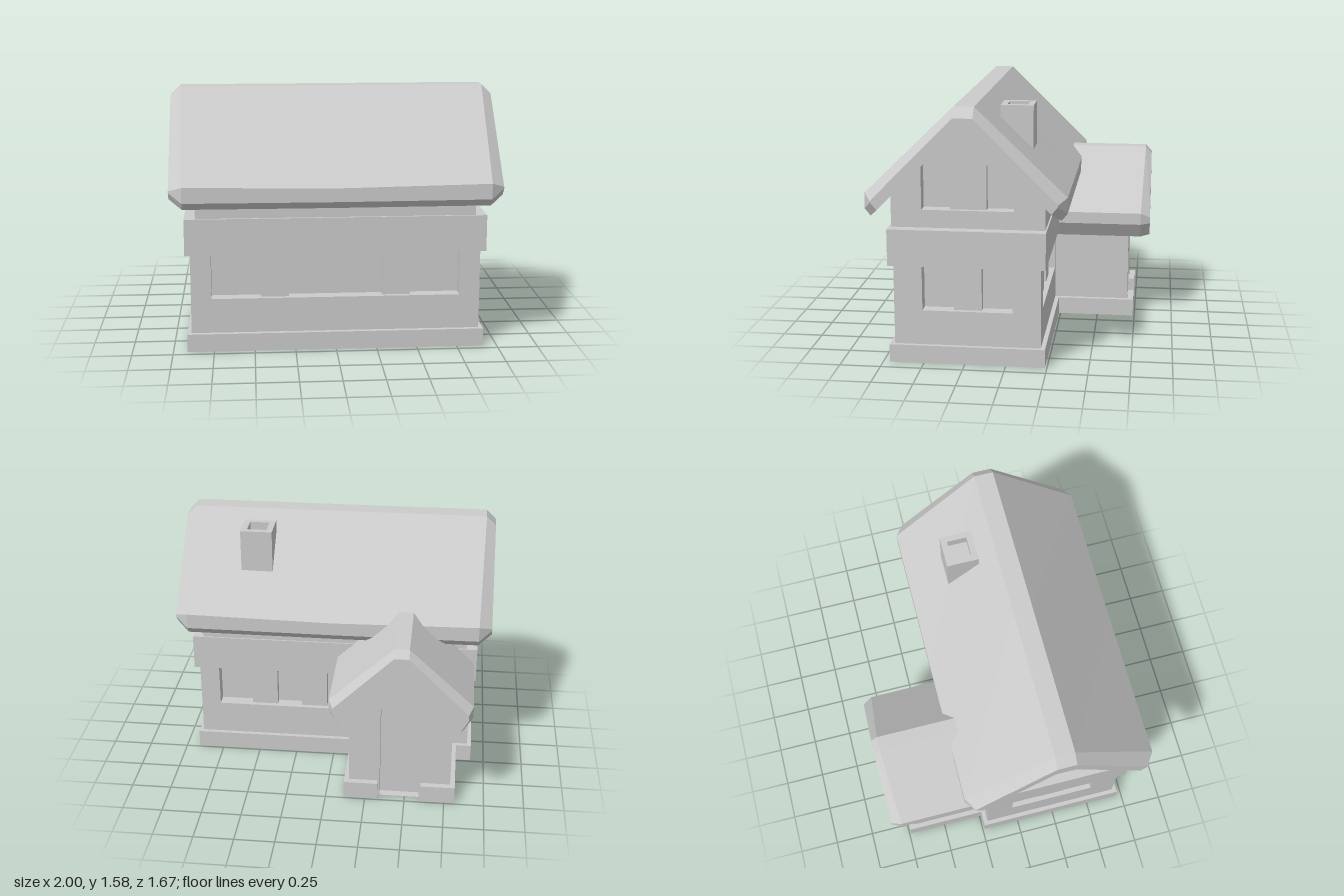
import * as THREE from 'three';

const mat = new THREE.MeshStandardMaterial({ color: 0xcccccc, flatShading: true, side: THREE.DoubleSide });

function add(parent, name, geometry, x = 0, y = 0, z = 0) {
  const m = new THREE.Mesh(geometry, mat);
  m.name = name;
  m.position.set(x, y, z);
  parent.add(m);
  return m;
}

const outline = (pts) => new THREE.Shape(pts.map(([x, y]) => new THREE.Vector2(x, y)));
const rect = (x0, x1, y0, y1) => [[x0, y0], [x1, y0], [x1, y1], [x0, y1]];
const extrude = (shape, depth) => new THREE.ExtrudeGeometry(shape, { depth, bevelEnabled: false });

// Horizontal rectangular frame, given half width, z range and the inset of its hole
function frame(parent, name, [hx, z0, z1], [ix, iz], y, height) {
  const shape = outline(rect(-hx, hx, -z1, -z0));
  shape.holes.push(outline(rect(-hx + ix, hx - ix, -z1 + iz, -z0 - iz)));
  add(parent, name, extrude(shape, height), 0, y, 0).rotation.x = -Math.PI / 2;
}

// Recess behind an opening: upright strips [x0, x1, depth] with sills, heads and jambs
function recess(parent, part, strips, y0, y1) {
  const h = y1 - y0, cy = (y0 + y1) / 2;
  const plane = (w, t) => new THREE.PlaneGeometry(w, t);
  const jamb = (x, a, b) => {
    add(parent, part + 'Jamb', plane(Math.abs(a - b), h), x, cy, -(a + b) / 2).rotation.y = Math.PI / 2;
  };
  let last = 0;
  for (const [x0, x1, d] of strips) {
    const x = (x0 + x1) / 2;
    add(parent, part + 'Panel', plane(x1 - x0, h), x, cy, -d);
    add(parent, part + 'Sill', plane(x1 - x0, d), x, y0, -d / 2).rotation.x = -Math.PI / 2;
    add(parent, part + 'Head', plane(x1 - x0, d), x, y1, -d / 2).rotation.x = Math.PI / 2;
    jamb(x0, last, d);
    last = d;
  }
  jamb(strips[strips.length - 1][1], last, 0);
}

// Thin wall facing local +z; an opening may be divided by upright posts
function wall(parent, name, pts, openings, pos, rotY) {
  const g = new THREE.Group();
  g.name = name;
  const shape = outline(pts);
  for (const { box: [x0, x1, y0, y1], posts = [], depth = 0.08, part = 'window' } of openings) {
    shape.holes.push(outline(rect(x0, x1, y0, y1)));
    const strips = [];
    let x = x0;
    for (const [a, b] of posts) {
      strips.push([x, a, depth], [a, b, 0.03]);
      x = b;
    }
    strips.push([x, x1, depth]);
    recess(g, part, strips, y0, y1);
  }
  add(g, name + 'Skin', extrude(shape, 0.005), 0, 0, -0.005);
  g.position.set(...pos);
  g.rotation.y = rotY;
  parent.add(g);
}

// Pitched roof: mirrored half profiles [u, y, extra reach] lofted along t
function roof(parent, name, sections, pos, rotY) {
  const rings = sections.map(([t, half]) => {
    const mirrored = half.map(([u, y, reach]) => [-u, y, reach]);
    return [...mirrored, ...half.slice().reverse()].map(([u, y, reach = 0]) => [u, y, t + Math.sign(t) * reach]);
  });
  const n = rings[0].length;
  const out = [];
  for (let s = 0; s + 1 < rings.length; s++) {
    for (let i = 0; i < n; i++) {
      const j = (i + 1) % n;
      const a = rings[s][i], b = rings[s][j], c = rings[s + 1][j], d = rings[s + 1][i];
      out.push(...a, ...b, ...c, ...a, ...c, ...d);
    }
  }
  const cap = (ring, flip) => {
    const faces = THREE.ShapeUtils.triangulateShape(ring.map(([u, y]) => new THREE.Vector2(u, y)), []);
    for (const f of faces) for (const k of flip ? [f[0], f[2], f[1]] : f) out.push(...ring[k]);
  };
  cap(rings[0], true);
  cap(rings[rings.length - 1], false);
  const geo = new THREE.BufferGeometry();
  geo.setAttribute('position', new THREE.Float32BufferAttribute(out, 3));
  geo.computeVertexNormals();
  add(parent, name, geo, ...pos).rotation.y = rotY;
}

export function createModel() {
  const house = new THREE.Group();
  house.name = 'house';
  const Q = Math.PI / 2;
  const cz = 0.235;   // centre of the main block in z
  const px = -0.465;  // centre of the porch in x

  // Plinth: thin skirt with a ledge on top, open at the porch door
  const base = [0.913, -0.237, 0.71];
  frame(house, 'plinthSkirt', base, [0.005, 0.005], 0, 0.112);
  frame(house, 'plinthLedge', base, [0.03, 0.03], 0.107, 0.005);
  for (const s of [-1, 1]) {
    // L-shaped strip from the door jamb round the corner to the main block
    const strip = (t, depth) => extrude(outline(
      [[0.135, 0.74 - t], [0.135, 0.74], [0.35, 0.74], [0.35, 0.23], [0.35 - t, 0.23], [0.35 - t, 0.74 - t]]
        .map(([x, y]) => [px + s * x, y])), depth);
    add(house, 'porchSkirt', strip(0.005, 0.112)).rotation.x = -Q;
    add(house, 'porchLedge', strip(0.04, 0.005), 0, 0.107, 0).rotation.x = -Q;
    add(house, 'porchSkirtEnd', new THREE.BoxGeometry(0.005, 0.112, 0.04), px + s * 0.1375, 0.056, -0.72);
  }

  // Ground floor walls with recessed windows
  const long = rect(-0.887, 0.887, 0.108, 0.613);
  const frontWindow = { box: [-0.762, 0.762, 0.327, 0.608], posts: [[-0.46, -0.287], [0.287, 0.46]] };
  const backWindow = { box: [-0.762, 0.1, 0.327, 0.608], posts: [[-0.55, -0.38], [-0.22, -0.05]] };
  const sideWindow = { box: [-0.273, 0.273, 0.327, 0.608], posts: [[-0.085, 0.085]] };
  wall(house, 'frontWall', long, [frontWindow], [0, 0, 0.68], 0);
  wall(house, 'backWall', long, [backWindow], [0, 0, -0.21], Math.PI);
  for (const s of [-1, 1]) {
    wall(house, 'sideWall', rect(-0.445, 0.445, 0.108, 0.613), [sideWindow], [s * 0.887, 0, cz], s * Q);
  }

  // Projecting hollow band between the floors
  const band = [0.918, -0.24, 0.71];
  frame(house, 'bandSkirt', band, [0.005, 0.005], 0.609, 0.225);
  frame(house, 'bandUnderside', band, [0.035, 0.035], 0.609, 0.005);
  frame(house, 'bandLedge', band, [0.07, 0.018], 0.829, 0.005);

  // Upper floor: low long walls and gables
  for (const s of [-1, 1]) {
    wall(house, 'upperWall', rect(-0.85, 0.85, 0.83, 1.05), [], [0, 0, 0.232 + s * 0.463], s > 0 ? 0 : Math.PI);
    wall(house, 'gableWall',
      [[-0.463, 0.83], [0.463, 0.83], [0.463, 1.04], [0.08, 1.43], [-0.08, 1.43], [-0.463, 1.04]],
      [{ box: [-0.278, 0.278, 0.943, 1.22], posts: [[-0.11, 0.11]] }], [s * 0.85, 0, 0.232], s * Q);
  }

  // Main roof with bevelled verges and slightly sagging eaves
  const end = [[0.06, 1.52], [0.55, 1.025], [0.55, 1.015], [0.512, 0.97], [0.06, 1.42]];
  const full = [[0.06, 1.58, 0.02], [0.601, 1.055], [0.601, 0.96], [0.566, 0.916], [0.06, 1.42]];
  const mid = [[0.06, 1.58], [0.601, 1.04], [0.601, 0.957], [0.566, 0.914], [0.06, 1.42]];
  roof(house, 'mainRoof', [[-1, end], [-0.92, full], [0, mid], [0.92, full], [1, end]], [0, 0, 0.234], Q);

  // Porch walls, door and roof
  wall(house, 'porchFront',
    [[-0.32, 0], [0.32, 0], [0.32, 0.64], [0.08, 0.89], [-0.08, 0.89], [-0.32, 0.64]],
    [{ box: [-0.125, 0.125, 0.004, 0.64], depth: 0.05, part: 'door' }], [px, 0, -0.7], Math.PI);
  for (const s of [-1, 1]) {
    wall(house, 'porchSide', rect(-0.245, 0.245, 0.108, 0.64), [], [px + s * 0.32, 0, -0.455], s * Q);
  }
  const porchFull = [[0.045, 1.11, 0.02], [0.438, 0.735], [0.438, 0.66], [0.38, 0.565], [0.045, 0.9]];
  const porchEnd = [[0.045, 1.065], [0.41, 0.705], [0.41, 0.665], [0.36, 0.578], [0.045, 0.9]];
  roof(house, 'porchRoof', [[0.22, porchFull], [0.78, porchFull], [0.84, porchEnd]], [px, 0, 0], Math.PI);

  // Chimney with a shallow flue
  const stack = outline(rect(-0.1, 0.1, -0.1, 0.1));
  stack.holes.push(outline(rect(-0.062, 0.062, -0.062, 0.062)));
  add(house, 'chimney', extrude(stack, 0.3), 0.5, 1.24, -0.035).rotation.x = -Q;
  add(house, 'flueFloor', new THREE.BoxGeometry(0.126, 0.02, 0.126), 0.5, 1.47, -0.035);

  return house;
}
